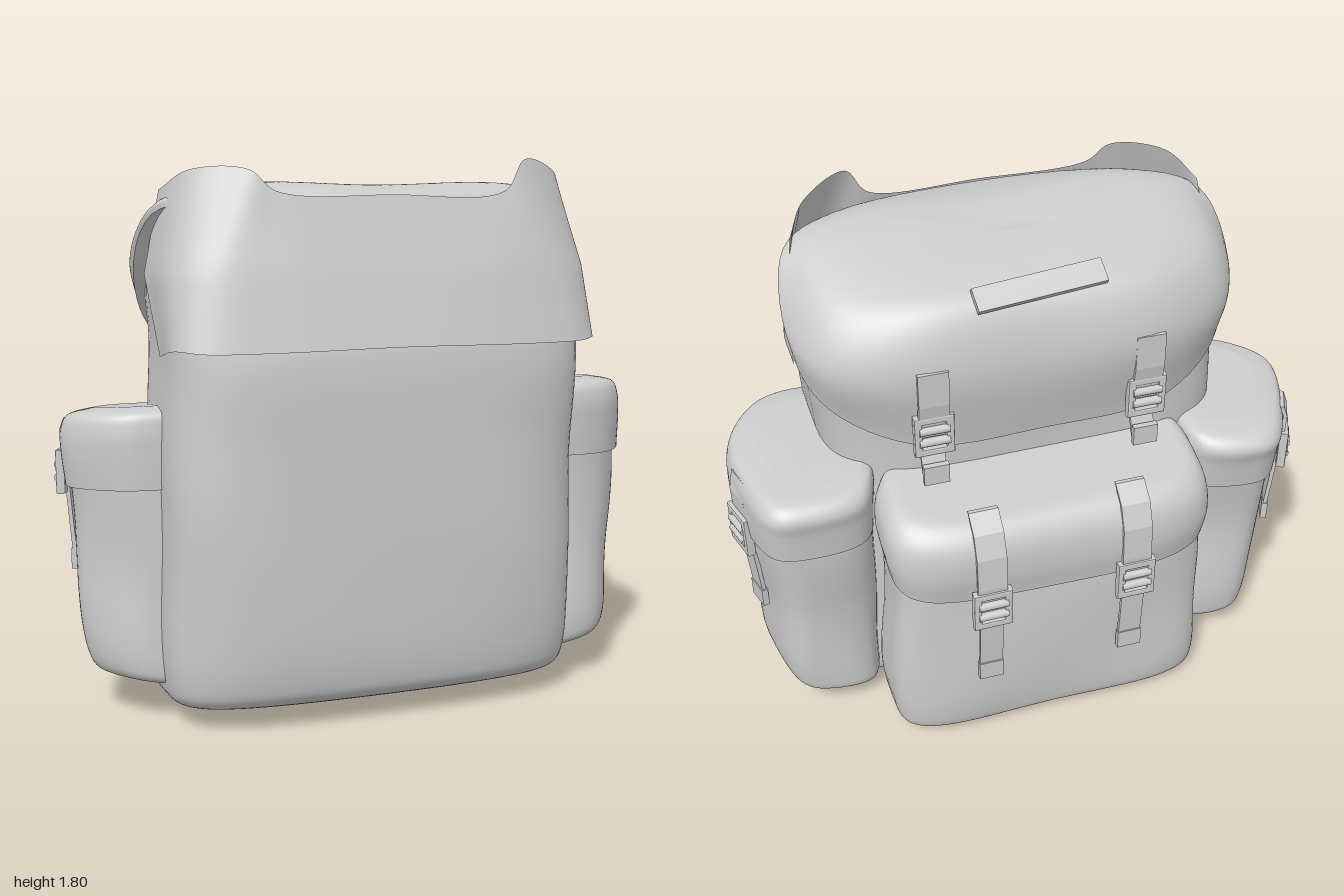
import * as THREE from 'three';

const mat = new THREE.MeshStandardMaterial({ color: 0xcccccc, roughness: 0.9 });
const clothMat = new THREE.MeshStandardMaterial({ color: 0xcccccc, roughness: 0.9, side: THREE.DoubleSide });
const N = 72; // points around each loop
const V = (x, y, z) => new THREE.Vector3(x, y, z);

// Gentle cloth unevenness
function crumple(p, amount) {
  p.x += amount * Math.sin(11 * p.y + 5 * p.z);
  p.z += amount * Math.sin(8 * p.y + 7 * p.x + 1);
  return p;
}

// Rounded-rectangle loop; tilt raises it away from its back edge
function section([y, x0, x1, z0, z1, n = 4, tilt = 0]) {
  const soft = c => Math.sign(c) * Math.pow(Math.abs(c), 2 / n);
  return Array.from({ length: N }, (_, i) => {
    const a = i / N * Math.PI * 2;
    const x = (x0 + x1) / 2 + (x1 - x0) / 2 * soft(Math.cos(a));
    const z = (z0 + z1) / 2 + (z1 - z0) / 2 * soft(Math.sin(a));
    return V(x, y + tilt * (z - z0), z);
  });
}

// Smooth closed loop through points running back -> left -> front
function closedLoop(points) {
  const curve = new THREE.CatmullRomCurve3(points.map(p => V(...p)), true, 'centripetal');
  return Array.from({ length: N }, (_, i) => curve.getPoint(i / N));
}

// Loop from points running back centre -> left side -> front centre, mirrored
function mirroredLoop(half) {
  return closedLoop([...half, ...half.slice(1, -1).reverse().map(([x, y, z]) => [-x, y, z])]);
}

// Smooth capped skin through a stack of loops
function loft(name, loops, amount = 0.004, steps = 8) {
  const rings = [];
  const columns = Array.from({ length: N }, (_, i) =>
    new THREE.CatmullRomCurve3(loops.map(l => l[i]), false, 'centripetal'));
  const rows = (loops.length - 1) * steps;
  for (let j = 0; j <= rows; j++) rings.push(columns.map(c => crumple(c.getPoint(j / rows), amount)));
  const cap = ring => {
    const c = ring.reduce((s, p) => s.add(p), V(0, 0, 0)).divideScalar(N);
    return ring.map(() => c);
  };
  // the doubled first ring keeps the lower rim crisp
  const all = [cap(rings[0]), rings[0], ...rings, cap(rings[rows])];
  const index = [];
  for (let j = 0; j < all.length - 1; j++) {
    if (j === 1) continue;
    for (let i = 0; i < N; i++) {
      const a = j * N + i, b = j * N + (i + 1) % N;
      index.push(a, a + N, b, b, a + N, b + N);
    }
  }
  const g = new THREE.BufferGeometry().setFromPoints(all.flat());
  g.setIndex(index);
  g.computeVertexNormals();
  const mesh = new THREE.Mesh(g, mat);
  mesh.name = name;
  return mesh;
}

// Wide front panel wrapping to the sides, with raised top corners
function frontPanel() {
  const line = half => new THREE.CatmullRomCurve3(
    [...half.slice(1).reverse().map(([x, y, z, drop = 0]) => V(-x, y - drop, z)),
      ...half.map(([x, y, z]) => V(x, y, z))], false, 'centripetal');
  const low = line([[0, 1.225, 0.55], [0.42, 1.22, 0.54], [0.63, 1.22, 0.505], [0.705, 1.225, 0.44], [0.712, 1.19, 0.25]]);
  const mid = line([[0, 1.46, 0.495], [0.4, 1.46, 0.49], [0.6, 1.46, 0.455], [0.7, 1.46, 0.36], [0.725, 1.44, 0.1]]);
  const high = line([[0, 1.69, 0.43], [0.38, 1.7, 0.425], [0.46, 1.8, 0.4, 0.035], [0.62, 1.765, 0.3], [0.69, 1.705, 0.18]]);
  const g = new THREE.PlaneGeometry(1, 1, 96, 12), p = g.attributes.position, uv = g.attributes.uv;
  for (let i = 0; i < p.count; i++) {
    const [a, b, c] = [low, mid, high].map(l => l.getPoint(uv.getX(i)));
    const t = uv.getY(i);
    const q = t < 0.5 ? a.lerp(b, t * 2) : b.lerp(c, t * 2 - 1);
    p.setXYZ(i, q.x, q.y, q.z);
  }
  g.computeVertexNormals();
  const mesh = new THREE.Mesh(g, clothMat);
  mesh.name = 'frontPanel';
  return mesh;
}

// Flat webbing following [height, outward] points, facing local +z
function webbing(name, path, width) {
  const t = 0.014;
  const s = new THREE.Shape([
    ...path.map(([y, o]) => new THREE.Vector2(o, y)),
    ...path.slice().reverse().map(([y, o]) => new THREE.Vector2(o - t, y))
  ]);
  const g = new THREE.ExtrudeGeometry(s, { depth: width, bevelEnabled: false });
  g.translate(0, 0, -width / 2).rotateY(-Math.PI / 2);
  const mesh = new THREE.Mesh(g, clothMat);
  mesh.name = name;
  return mesh;
}

function box(name, w, h, d, x, y, z) {
  const mesh = new THREE.Mesh(new THREE.BoxGeometry(w, h, d), mat);
  mesh.position.set(x, y, z);
  mesh.name = name;
  return mesh;
}

// Ladder buckle: frame with opening and cross bars
function buckle() {
  const group = new THREE.Group();
  group.name = 'buckle';
  const rect = (Type, w, h) => new Type([[-w, -h], [w, -h], [w, h], [-w, h]].map(p => new THREE.Vector2(...p)));
  const frame = rect(THREE.Shape, 0.06, 0.068);
  frame.holes.push(rect(THREE.Path, 0.045, 0.054));
  const g = new THREE.ExtrudeGeometry(frame, { depth: 0.02, bevelSize: 0.006, bevelThickness: 0.006, bevelSegments: 2 });
  const mesh = new THREE.Mesh(g, mat);
  mesh.name = 'buckleFrame';
  group.add(mesh);
  for (const y of [-0.022, 0.022]) {
    const bar = new THREE.Mesh(new THREE.CylinderGeometry(0.015, 0.015, 0.1, 12), mat);
    bar.rotation.z = Math.PI / 2;
    bar.position.set(0, y, 0.02);
    bar.name = 'buckleBar';
    group.add(bar);
  }
  return group;
}

// Strap with buckle and loose tail
function strap(name, position, turn, upper, tail, buckleY, buckleOut) {
  const group = new THREE.Group();
  group.name = name;
  const b = buckle();
  b.position.set(0, buckleY, buckleOut);
  const [endY, endOut] = tail[tail.length - 1];
  group.add(webbing('upperStrap', upper, 0.1), webbing('strapTail', tail, 0.08), b,
    box('strapEnd', 0.085, 0.07, 0.022, 0, endY + 0.03, endOut - 0.002));
  group.position.set(...position);
  group.rotation.y = turn;
  return group;
}

// Side pocket from its plan outline; side is +1 for left, -1 for right
function sidePocket(side, outline, flapDrop, strapSpot, turn) {
  const group = new THREE.Group();
  group.name = side > 0 ? 'leftPocket' : 'rightPocket';
  // each row: height, width scale, depth scale, forward shift, rise toward the front, rise outward
  const place = drop => ([y, sx, sz, dz = 0, tilt = 0, lift = 0]) => {
    const pts = outline.map(([x, z]) => {
      const pz = 0.03 + (z - 0.03) * sz + dz;
      return [side * (0.62 + (x - 0.62) * sx), y - drop + tilt * pz + lift * (x - 0.62), pz];
    });
    return closedLoop(side > 0 ? pts : pts.reverse());
  };
  group.add(
    loft('pocketBag', [
      [0.085, 0.6, 0.66, 0.035, 0.08, 0.1], [0.105, 0.78, 0.86, 0.035, 0.08, 0.12], [0.17, 0.85, 0.9, 0.035, 0.06, 0.1],
      [0.5, 0.9, 0.86, 0.025], [0.8, 0.95, 0.91], [0.95, 0.95, 0.92]
    ].map(place(0)), 0.006),
    loft('pocketFlap', [
      [0.79, 0.99, 0.94, 0.005, 0.04], [0.9, 1.01, 0.97, 0, 0.05], [0.97, 1, 0.99, -0.005, 0.07],
      [1.015, 0.94, 0.92, 0, 0.1], [1.035, 0.72, 0.68, 0, 0.12]
    ].map(place(flapDrop))),
    strap('pocketStrap', strapSpot, turn,
      [[0.99 - flapDrop, 0.004], [0.92, 0.019], [0.77, 0.014]],
      [[0.77, 0.01], [0.62, -0.002], [0.45, -0.016]], 0.78, 0.006)
  );
  return group;
}

export function createModel() {
  const model = new THREE.Group();
  model.name = 'backpack';

  // Main bag
  model.add(loft('mainBag', [
    [0.005, -0.5, 0.5, -0.1, 0.3, 3.5, 0.06], [0.02, -0.65, 0.62, -0.14, 0.42, 3.8, 0.08],
    [0.055, -0.71, 0.66, -0.16, 0.495, 4, 0.08], [0.15, -0.725, 0.68, -0.17, 0.52, 4, 0.04],
    [0.5, -0.725, 0.68, -0.18, 0.54, 4], [0.9, -0.715, 0.68, -0.18, 0.54, 4], [1.2, -0.705, 0.695, -0.19, 0.53, 4],
    [1.4, -0.71, 0.71, -0.19, 0.475, 4], [1.58, -0.68, 0.68, -0.15, 0.43, 3], [1.66, -0.62, 0.62, -0.02, 0.39, 3]
  ].map(section), 0.003));

  model.add(frontPanel());

  // Domed lid, rim to crown
  model.add(loft('lid', [
    [[0, 1.1, -0.225], [0.42, 1.12, -0.215], [0.66, 1.24, -0.11], [0.745, 1.41, 0.03], [0.715, 1.63, 0.19], [0.54, 1.67, 0.35], [0, 1.67, 0.42]],
    [[0, 1.4, -0.27], [0.43, 1.39, -0.265], [0.67, 1.42, -0.15], [0.755, 1.49, 0.04], [0.71, 1.66, 0.2], [0.52, 1.695, 0.33], [0, 1.69, 0.41]],
    [[0, 1.59, -0.215], [0.4, 1.57, -0.205], [0.6, 1.58, -0.1], [0.66, 1.63, 0.05], [0.61, 1.7, 0.19], [0.44, 1.725, 0.28], [0, 1.71, 0.33]],
    [[0, 1.65, -0.1], [0.2, 1.65, -0.1], [0.32, 1.66, -0.04], [0.36, 1.685, 0.05], [0.32, 1.715, 0.14], [0.2, 1.72, 0.19], [0, 1.72, 0.22]],
    [[0, 1.692, 0.04], [0.04, 1.692, 0.045], [0.05, 1.692, 0.05], [0.06, 1.692, 0.06], [0.05, 1.692, 0.07], [0.04, 1.692, 0.075], [0, 1.692, 0.08]]
  ].map(mirroredLoop)));

  // Grab band on the lid
  const band = box('lidBand', 0.43, 0.022, 0.08, -0.01, 1.62, -0.195);
  band.rotation.set(-0.65, 0.08, 0);
  model.add(band);

  // Rear pocket with flap
  model.add(loft('rearPocket', [
    [0.03, -0.48, 0.48, -0.42, -0.1], [0.05, -0.54, 0.55, -0.455, -0.08, 4.5], [0.12, -0.555, 0.565, -0.47, -0.08, 4.5],
    [0.5, -0.55, 0.55, -0.475, -0.08, 4.5], [0.85, -0.53, 0.53, -0.465, -0.08, 4]
  ].map(section), 0.006));
  model.add(loft('rearFlap', [
    [0.65, -0.55, 0.55, -0.495, -0.06, 4, 0.4], [0.76, -0.565, 0.56, -0.512, -0.06, 3.8, 0.3],
    [0.87, -0.55, 0.55, -0.5, -0.06, 3.6, 0.2], [0.93, -0.51, 0.51, -0.45, -0.06, 3.6, 0.2],
    [0.95, -0.42, 0.42, -0.37, -0.1, 3.5, 0.2]
  ].map(section)));

  // Side pockets, their outer faces turned toward the rear
  model.add(
    sidePocket(1, [[0.58, -0.24], [0.8, -0.295], [0.9, -0.265], [0.965, -0.1], [0.985, 0.13], [0.86, 0.31], [0.7, 0.345], [0.57, 0.3]],
      0, [0.965, 0, -0.04], 1.85),
    sidePocket(-1, [[0.56, -0.26], [0.77, -0.34], [0.85, -0.31], [0.945, -0.13], [0.99, 0.07], [0.9, 0.2], [0.78, 0.265], [0.57, 0.24]],
      0.03, [-0.942, 0, -0.14], -2)
  );

  // Paired straps
  for (const side of [1, -1]) {
    model.add(strap('rearStrap', [side * 0.25, 0, 0], Math.PI,
      [[0.97, 0.425], [0.92, 0.485], [0.84, 0.518], [0.72, 0.526], [0.62, 0.518]],
      [[0.62, 0.512], [0.48, 0.504], [0.3, 0.492]], 0.63, 0.506));
    model.add(strap('lidStrap', [side * 0.36, 0, 0], Math.PI,
      [[1.42, 0.28], [1.3, 0.28], [1.17, 0.256]],
      [[1.17, 0.248], [1.08, 0.235], [1.0, 0.27]], 1.18, 0.246));
  }
  return model;
}
